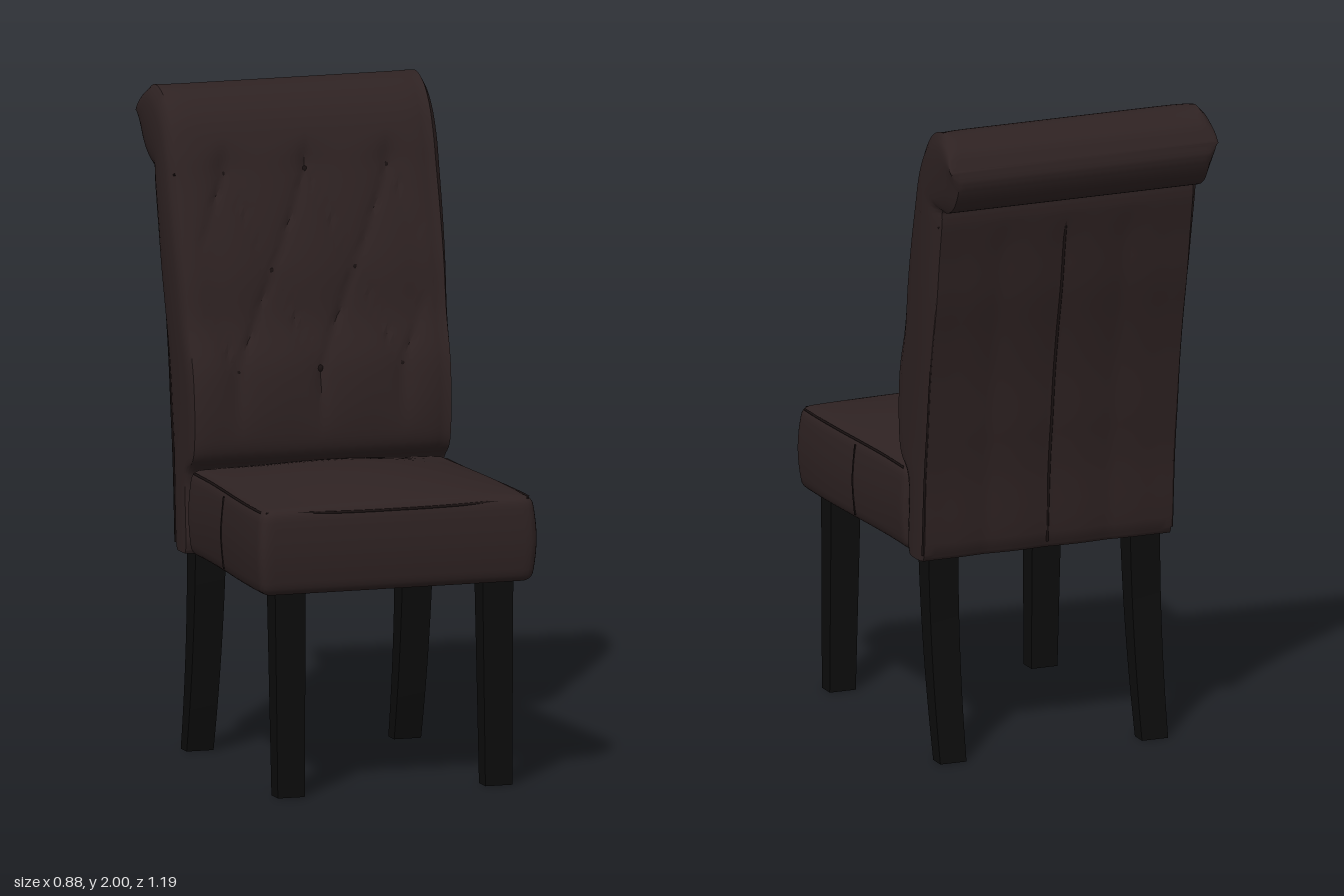
import * as THREE from 'three';
import { mergeVertices, toCreasedNormals } from 'three/addons/utils/BufferGeometryUtils.js';

const leather = new THREE.MeshStandardMaterial({ color: 0x2e2222 });
leather.name = 'dark brown leather';
const seamDark = new THREE.MeshStandardMaterial({ color: 0x191111 });
seamDark.name = 'seam shadow brown';
const blackWood = new THREE.MeshStandardMaterial({ color: 0x0c0c0c });
blackWood.name = 'black wood';
const lining = new THREE.MeshStandardMaterial({ color: 0x3a301f });
lining.name = 'olive lining';

const { smoothstep, clamp } = THREE.MathUtils;

function part(name, geometry, material) {
  const mesh = new THREE.Mesh(geometry, material);
  mesh.name = name;
  return mesh;
}

// Applies a rule to every vertex
function bend(geometry, rule) {
  const pos = geometry.attributes.position;
  const v = new THREE.Vector3();
  for (let i = 0; i < pos.count; i++) {
    rule(v.fromBufferAttribute(pos, i));
    pos.setXYZ(i, v.x, v.y, v.z);
  }
  return geometry;
}

function seam(name, points, radius = 0.004, closed = false) {
  const curve = new THREE.CatmullRomCurve3(points.map(p => new THREE.Vector3(...p)), closed);
  return part(name, new THREE.TubeGeometry(curve, 48, radius, 5, closed), seamDark);
}

// Side profile of the backrest: paired front and rear points as [z, y]
const FRONT = [[-.2, .62], [-.19, .64], [-.19, .86], [-.135, .92], [-.12, 1], [-.13, 1.17], [-.175, 1.32],
  [-.2, 1.46], [-.235, 1.6], [-.275, 1.74], [-.3, 1.83], [-.34, 1.92], [-.4, 1.98], [-.48, 2], [-.555, 1.965], [-.588, 1.915]];
const REAR = [[-.3, .62], [-.31, .64], [-.325, .86], [-.335, .95], [-.345, 1.02], [-.365, 1.18], [-.39, 1.32],
  [-.42, 1.46], [-.44, 1.59], [-.462, 1.72], [-.465, 1.755], [-.5, 1.757], [-.55, 1.785], [-.585, 1.84], [-.595, 1.875], [-.592, 1.9]];
const toCurve = pts => new THREE.CatmullRomCurve3(pts.map(([z, y]) => new THREE.Vector3(0, y, z)));

// Depth of the diamond tufting at a point on the front
function tuftDepth(x, y) {
  const a = x / 0.26;
  const b = clamp((y - 1.17) / 0.58, 0, 1);
  const pillow = Math.sqrt(Math.abs(Math.sin(Math.PI * (a + b)) * Math.sin(Math.PI * (a - b))));
  const fade = (1 - smoothstep(Math.abs(x), 0.27, 0.38)) * smoothstep(y, 0.95, 1.17) * (1 - smoothstep(y, 1.75, 1.86));
  return fade * (0.014 * (1 - pillow) + 0.01 * Math.exp(-6 * pillow));
}

// Backrest lofted from closed cross-sections, bottom to scroll tip
function backrestGeometry() {
  const front = toCurve(FRONT), rear = toCurve(REAR);
  const rows = 75, cols = 48, sides = 8;
  const ring = 2 * (cols + sides);
  const pos = [], index = [];
  for (let r = 0; r <= rows; r++) {
    const f = front.getPoint(r / rows), b = rear.getPoint(r / rows);
    const w = 0.402 + 0.006 * smoothstep(f.y, 0.7, 1.7);
    const bulge = 0.008 + 0.02 * smoothstep(f.y, 0.9, 1.8);
    for (let j = 0; j < cols; j++) {
      const x = w * (2 * j / cols - 1);
      const edge = 0.012 * Math.pow(Math.abs(x) / w, 14) * smoothstep(f.z - b.z, 0.02, 0.1);
      pos.push(x, f.y, f.z - tuftDepth(x, f.y) - edge);
    }
    for (let j = 0; j < sides; j++) {
      const k = j / sides;
      pos.push(w + bulge * Math.sqrt(Math.sin(Math.PI * k)), f.y + (b.y - f.y) * k, f.z + (b.z - f.z) * k);
    }
    for (let j = 0; j < cols; j++) {
      const x = w * (1 - 2 * j / cols);
      const fold = 0.006 * (1 - Math.abs(Math.sin(Math.PI * x / 0.2))) * (1 - smoothstep(b.y, 1.6, 1.72))
        * (1 - smoothstep(Math.abs(x), 0.25, 0.38));
      pos.push(x, b.y, b.z + fold);
    }
    for (let j = 0; j < sides; j++) {
      const k = 1 - j / sides;
      pos.push(-w - bulge * Math.sqrt(Math.sin(Math.PI * k)), f.y + (b.y - f.y) * k, f.z + (b.z - f.z) * k);
    }
  }
  for (let r = 0; r < rows; r++) for (let j = 0; j < ring; j++) {
    const a = r * ring + j, b = r * ring + (j + 1) % ring;
    index.push(a, b, b + ring, a, b + ring, a + ring);
  }
  // Close the bottom and the scroll tip
  const low = pos.length / 3, last = rows * ring;
  pos.push(0, 0.62, -0.25, 0, 1.908, -0.591);
  for (let j = 0; j < ring; j++) {
    const n = (j + 1) % ring;
    index.push(low, n, j, low + 1, last + j, last + n);
  }
  const g = new THREE.BufferGeometry();
  g.setAttribute('position', new THREE.Float32BufferAttribute(pos, 3));
  g.setIndex(index);
  return toCreasedNormals(g, 0.8);
}

// Half width of the seat, wider toward the front
const seatHalf = z => 0.402 + 0.026 * smoothstep(z, -0.1, 0.5);

// Seat cushion: rounded box with tapered plan, puffed sides and crowned top
function seatGeometry() {
  const half = new THREE.Vector3(1, 0.13, 0.382), r = 0.028;
  let g = new THREE.BoxGeometry(2, 2, 2, 28, 16, 28);
  g.deleteAttribute('uv');
  g.deleteAttribute('normal');
  g = mergeVertices(g);
  const inner = new THREE.Vector3();
  bend(g, v => {
    half.x = 0.42;
    for (const k of ['x', 'y', 'z']) {
      v[k] = Math.sin(v[k] * Math.PI / 2) * half[k];
      inner[k] = clamp(v[k], r - half[k], half[k] - r);
    }
    v.sub(inner).setLength(Math.min(r, v.length() || 0)).add(inner);
    const puff = Math.cos(Math.PI * v.y / 0.26);
    const z = v.z + 0.197;
    const crown = Math.max(0, 1 - (v.x / 0.42) ** 2) * Math.max(0, 1 - (v.z / 0.385) ** 2);
    v.x *= (seatHalf(z) + 0.012 * puff) / 0.42;
    v.y += 0.75 + 0.056 * crown * smoothstep(v.y, 0, 0.12);
    v.z = z + (v.z > 0 ? 0.012 * puff * v.z / 0.382 : 0);
  });
  return toCreasedNormals(g, 0.7);
}

// Tapered leg; the rule gives centre z and depth at t = 0 (top) to 1 (floor)
function leg(name, x, rule) {
  const g = new THREE.BoxGeometry(1, 1, 1, 1, 14, 1);
  bend(g, v => {
    const t = 0.5 - v.y;
    const [z, depth] = rule(t);
    v.set(x + v.x * (0.097 - 0.012 * t), 0.64 * (1 - t), z + v.z * depth);
  });
  return part(name, toCreasedNormals(g, 0.7), blackWood);
}

export function createModel() {
  const chair = new THREE.Group();
  chair.name = 'diningChair';

  chair.add(part('backrest', backrestGeometry(), leather));
  chair.add(part('seatCushion', seatGeometry(), leather));

  // Tufting buttons
  const front = toCurve(FRONT);
  const samples = front.getPoints(300);
  const buttons = new THREE.Group();
  buttons.name = 'tuftButtons';
  for (const [y, xs] of [[1.75, [-.26, 0, .26]], [1.46, [-.13, .13]], [1.17, [-.26, 0, .26]]]) {
    const p = samples.find(s => s.y >= y);
    for (const x of xs) {
      const b = part('button', new THREE.SphereGeometry(0.011, 10, 6), seamDark);
      b.scale.z = 0.5;
      b.position.set(x, y, p.z - tuftDepth(x, y) + 0.001);
      buttons.add(b);
    }
  }
  chair.add(buttons);

  // Seams on the upholstery
  chair.add(seam('rearCentreSeam', REAR.slice(1, 10).map(([z, y]) => [0, y, z + 0.005])));
  for (const s of [-1, 1]) {
    chair.add(seam('backEdgeSeam', REAR.slice(1, 10).map(([z, y]) => [s * 0.405, y, z + 0.004])));
    chair.add(seam('scrollSeam', [[s * 0.41, 1.76, -0.29], [s * 0.432, 1.73, -0.36], [s * 0.412, 1.7, -0.452]]));
    chair.add(seam('seatSideSeam', [[s * 0.418, 0.86, 0.18], [s * 0.426, 0.75, 0.18], [s * 0.418, 0.64, 0.18]], 0.003));
    chair.add(seam('seatTopSeam', [-.15, 0, .15, .3, .45, .55].map(z => [s * (seatHalf(z) - 0.004), 0.872, z])));
  }
  chair.add(seam('seatFrontSeam', [[-.415, .872, .565], [-.2, .866, .577], [0, .864, .578], [.2, .866, .577], [.415, .872, .565]]));

  // Legs: straight in front, raked behind
  for (const [side, x] of [['Left', 0.328], ['Right', -0.328]]) {
    chair.add(leg('front' + side + 'Leg', x, t => [0.498 + 0.017 * t, 0.078 - 0.018 * t]));
    chair.add(leg('rear' + side + 'Leg', x, t => [-0.245 - 0.02 * t - 0.068 * t * t, 0.08 - 0.025 * t]));
  }

  // Lining under the seat
  const panel = part('underLining', new THREE.BoxGeometry(0.72, 0.008, 0.66), lining);
  panel.position.set(0, 0.618, 0.19);
  chair.add(panel);

  return chair;
}
